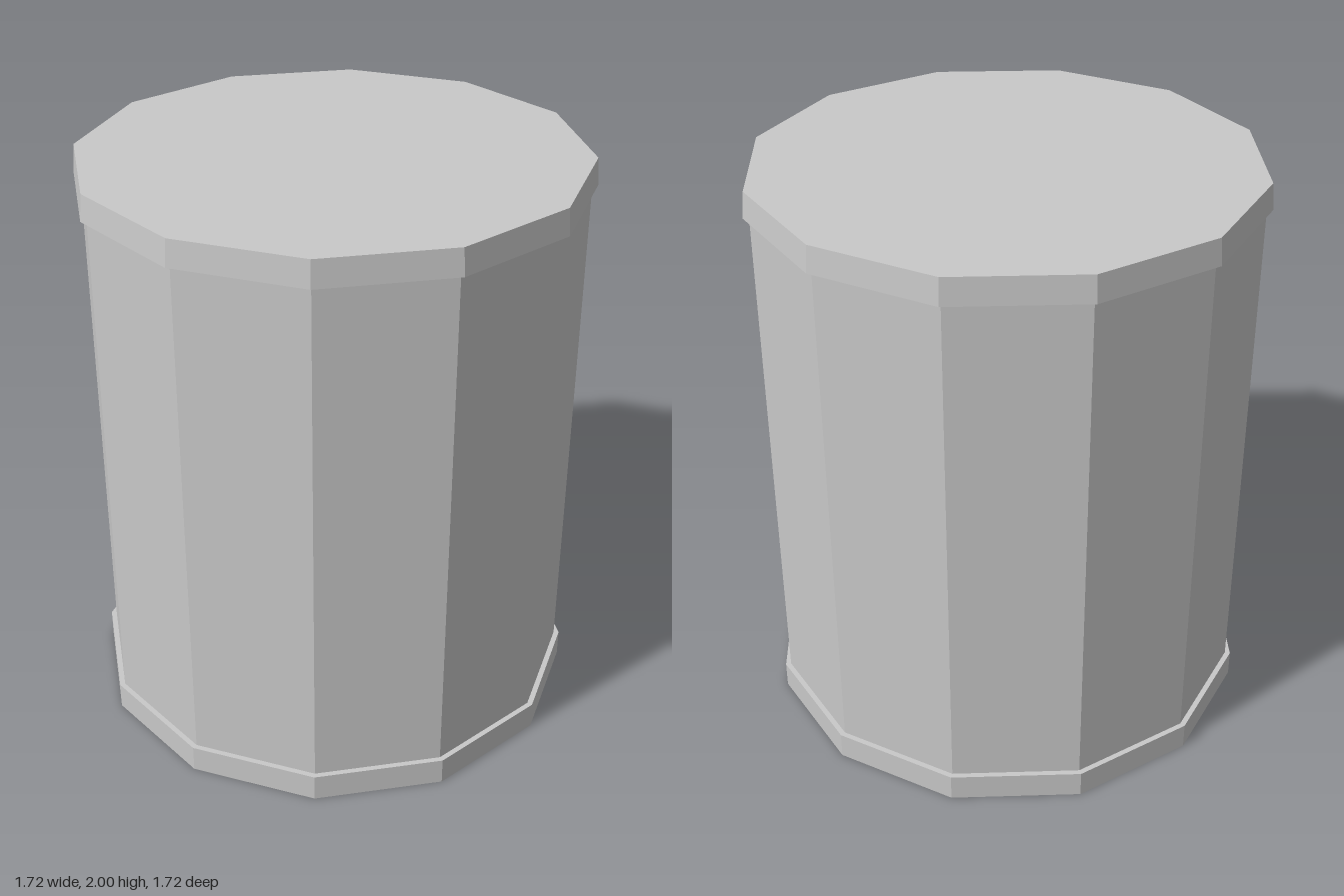
import * as THREE from 'three';

const SIDES = 12;

export function createModel() {
  const group = new THREE.Group();
  const grey = new THREE.MeshStandardMaterial({ color: 0xc8c8c8 });
  grey.name = 'light grey metal';

  // Faceted, capped drum section between two heights
  function section(name, topRadius, bottomRadius, y0, y1) {
    const geometry = new THREE.CylinderGeometry(topRadius, bottomRadius, y1 - y0, SIDES).toNonIndexed();
    geometry.computeVertexNormals(); // flat facets
    const mesh = new THREE.Mesh(geometry, grey);
    mesh.name = name;
    mesh.position.y = (y0 + y1) / 2;
    group.add(mesh);
  }

  section('body', 0.841, 0.841, 0.05, 1.95);
  section('bottomRim', 0.86, 0.86, 0, 0.095);
  section('topRim', 0.853, 0.861, 1.91, 2); // lid tapers slightly upward

  return group;
}
